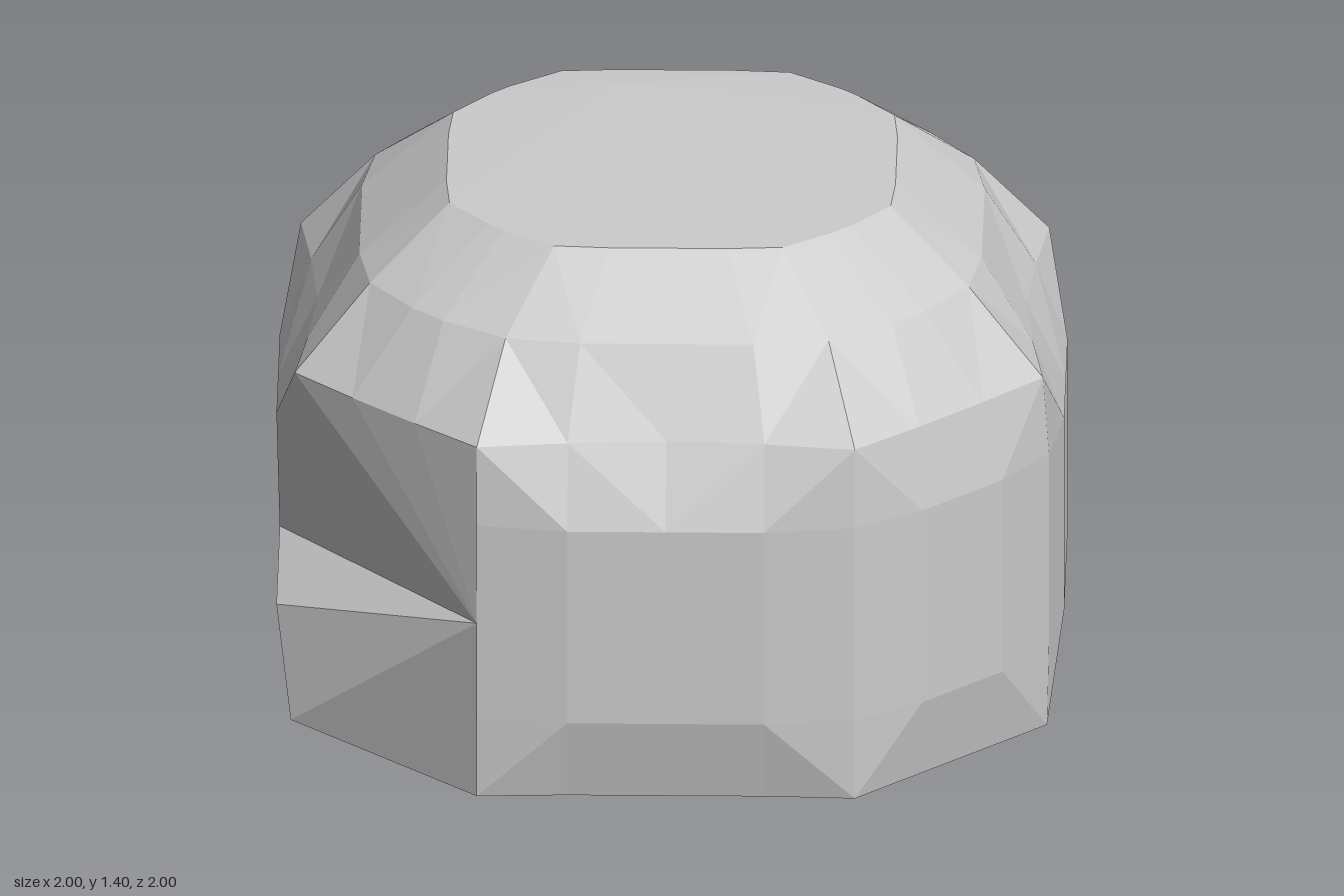
import * as THREE from 'three';

// Quarter outlines [x, z], running from the front towards the left side; each is repeated four times
const MID = [[0, 1], [0.25, 1], [0.48, 0.965], [0.65, 0.85], [0.85, 0.65], [0.965, 0.48], [1, 0.25]];
const EDGE = [[0, 0.95], [0.25, 0.95], [0.48, 0.96], [0.64, 0.8], [0.8, 0.64], [0.96, 0.48], [0.95, 0.25]];
const RIM = [[0, 0.9], [0.25, 0.92], [0.48, 0.95], [0.64, 0.8], [0.8, 0.64], [0.95, 0.48], [0.92, 0.25]];
const SHOULDER = [[0, 0.79], [0.22, 0.79], [0.41, 0.76], [0.57, 0.65], [0.65, 0.57], [0.76, 0.41], [0.79, 0.22]];
const CROWN = [[0, 0.57], [0.15, 0.57], [0.29, 0.56], [0.42, 0.46], [0.46, 0.42], [0.56, 0.29], [0.57, 0.15]];
const BASE = EDGE.map(([x, z]) => [x * 0.9, z * 0.9]);

// Rings from the ground to the crown
const RINGS = [
  [0, BASE], [0.04, EDGE], [0.26, MID], [0.52, MID],
  [0.79, MID], [1.0, RIM], [1.22, SHOULDER], [1.39, CROWN],
];
const N = 28;

function ringPoint(col, row) {
  const i = col % N;
  const [y, outline] = RINGS[row];
  let [x, z] = outline[i % 7];
  for (let q = 0; q < Math.floor(i / 7); q++) [x, z] = [z, -x];
  return [x, y, z];
}

// Broken corners: blocks cut out as [firstCol, lastCol, firstRow, lastRow], half
// facets kept along the slanting break, and a fan from one apex to the rim
const CHIPS = [
  {
    name: 'backLeftChip',
    cut: [[9, 12, 1, 4], [13, 13, 2, 3]],
    keep: [
      [[12, 1], [13, 1], [13, 2]], [[13, 2], [14, 2], [14, 3]],
      [[13, 4], [14, 3], [14, 4]], [[12, 5], [13, 4], [13, 5]],
    ],
    apex: [9, 3],
    rim: [[9, 2], [9, 1], [10, 1], [11, 1], [12, 1], [13, 2], [14, 3],
      [13, 4], [12, 5], [11, 5], [10, 5], [9, 5], [9, 4]],
  },
  {
    name: 'frontRightChip',
    cut: [[22, 25, 1, 4], [21, 21, 2, 3], [20, 20, 2, 2]],
    keep: [
      [[22, 4], [23, 5], [22, 5]], [[21, 3], [22, 4], [21, 4]],
      [[20, 2], [21, 3], [20, 3]], [[22, 1], [23, 1], [22, 2]],
    ],
    apex: [26, 3],
    rim: [[26, 4], [26, 5], [25, 5], [24, 5], [23, 5], [22, 4], [21, 3], [20, 2],
      [21, 2], [22, 2], [23, 1], [24, 1], [25, 1], [26, 1], [26, 2]],
  },
];

const isCut = (c, r) => CHIPS.some(({ cut }) =>
  cut.some(([c0, c1, r0, r1]) => c >= c0 && c <= c1 && r >= r0 && r <= r1));

function facets(name, triangles) {
  const geometry = new THREE.BufferGeometry();
  geometry.setAttribute('position', new THREE.Float32BufferAttribute(triangles.flat(2), 3));
  geometry.computeVertexNormals();
  const material = new THREE.MeshStandardMaterial({
    color: 0xcccccc, flatShading: true, side: THREE.DoubleSide,
  });
  const mesh = new THREE.Mesh(geometry, material);
  mesh.name = name;
  return mesh;
}

export function createModel() {
  const group = new THREE.Group();
  group.name = 'boulder';

  // Body wall, with creases spreading from the upper and lower corners
  const wall = [];
  for (let r = 0; r < RINGS.length - 1; r++) {
    for (let c = 0; c < N; c++) {
      if (isCut(c, r)) continue;
      const a = ringPoint(c, r), b = ringPoint(c + 1, r);
      const d = ringPoint(c + 1, r + 1), e = ringPoint(c, r + 1);
      const upperCrease = [2, 3, 5, 6].includes(c % 7);
      if (upperCrease === (r >= 4)) wall.push([a, b, e], [b, d, e]);
      else wall.push([a, b, d], [a, d, e]);
    }
  }
  for (const { keep } of CHIPS) {
    for (const tri of keep) wall.push(tri.map(([c, r]) => ringPoint(c, r)));
  }
  group.add(facets('body', wall));

  // Top and underside, each a fan from an off-centre point
  const top = [], bottom = [];
  for (let c = 0; c < N; c++) {
    top.push([ringPoint(c, 7), ringPoint(c + 1, 7), [-0.13, 1.4, -0.46]]);
    bottom.push([ringPoint(c + 1, 0), ringPoint(c, 0), [-0.05, 0.01, 0.58]]);
  }
  group.add(facets('top', top), facets('underside', bottom));

  // Broken corner facets
  for (const { name, apex, rim } of CHIPS) {
    const fan = [];
    for (let k = 0; k < rim.length - 1; k++) {
      fan.push([ringPoint(...apex), ringPoint(...rim[k]), ringPoint(...rim[k + 1])]);
    }
    group.add(facets(name, fan));
  }

  return group;
}
